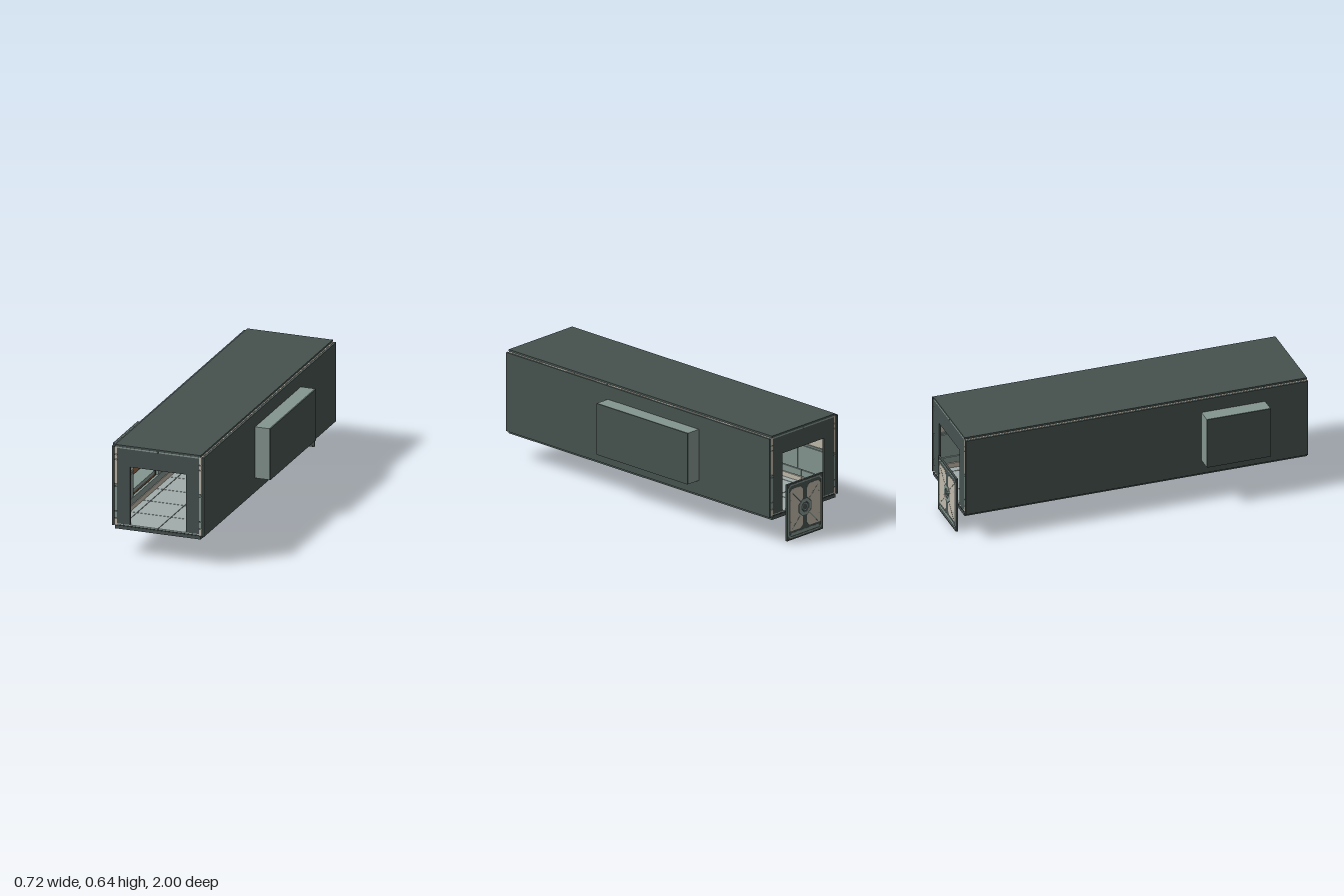
import * as THREE from 'three';

const mat = (color) => new THREE.MeshStandardMaterial({ color });
const DARK = mat(0x46524f), GREEN = mat(0x84958f), BEIGE = mat(0xc0b9ab);
const BROWN = mat(0x8f6548), TILE = mat(0xa2aeac), SEAL = mat(0x2c3433);
const BACK = -0.988, FRONT = 1;

// Box given by its minimum and maximum on each axis
function box(parent, name, material, [x0, x1], [y0, y1], [z0, z1]) {
  const mesh = new THREE.Mesh(new THREE.BoxGeometry(Math.abs(x1 - x0), y1 - y0, z1 - z0), material);
  mesh.position.set((x0 + x1) / 2, (y0 + y1) / 2, (z0 + z1) / 2);
  mesh.name = name;
  parent.add(mesh);
  return mesh;
}

function plate(parent, name, material, outline, z0, depth, hole) {
  const toPoints = (list) => list.map(([x, y]) => new THREE.Vector2(x, y));
  const shape = new THREE.Shape(toPoints(outline));
  if (hole) shape.holes.push(new THREE.Path(toPoints(hole)));
  const mesh = new THREE.Mesh(new THREE.ExtrudeGeometry(shape, { depth, bevelEnabled: false }), material);
  mesh.position.z = z0;
  mesh.name = name;
  parent.add(mesh);
  return mesh;
}

// Rectangle with cut corners
const chamfered = (x0, x1, y0, y1, c) => [
  [x0 + c, y0], [x1 - c, y0], [x1, y0 + c], [x1, y1 - c],
  [x1 - c, y1], [x0 + c, y1], [x0, y1 - c], [x0, y0 + c]];

// Splits [a, b] into evenly spaced pieces with gaps
function split(a, b, pitch, gap) {
  const n = Math.max(1, Math.round((b - a) / pitch)), step = (b - a) / n;
  return Array.from({ length: n }, (_, i) => [a + i * step + gap / 2, a + (i + 1) * step - gap / 2]);
}

// One side wall with an opening leading into a projecting alcove
function makeWall(side, z0, z1) {
  const wall = new THREE.Group();
  wall.name = side > 0 ? 'leftWall' : 'rightWall';
  const bx = (name, m, x, y, z) => box(wall, name, m, x.map((v) => v * side), y, z);
  const skin = [0.257, 0.27];
  bx('outerSkinBottom', DARK, skin, [0.168, 0.25], [BACK, FRONT]);
  bx('outerSkinTop', DARK, skin, [0.547, 0.625], [BACK, FRONT]);
  bx('outerSkinBack', DARK, skin, [0.25, 0.547], [BACK, z0]);
  bx('outerSkinFront', DARK, skin, [0.25, 0.547], [z1, FRONT]);

  // Rows of interior panels, interrupted at the opening
  const rows = [[0.17, 0.207, BEIGE, 0], [0.211, 0.248, GREEN, 0], [0.252, 0.392, GREEN, 1],
    [0.396, 0.406, GREEN, 1], [0.41, 0.547, BEIGE, 1], [0.551, 0.576, BEIGE, 0], [0.58, 0.624, BEIGE, 0]];
  for (const [y0, y1, material, open] of rows) {
    const spans = open ? [[BACK, z0], [z1, FRONT]] : [[BACK, FRONT]];
    for (const [a, b] of spans)
      for (const z of split(a, b, 0.25, 0.005)) bx('wallPanel', material, [0.24, 0.254], [y0, y1], z);
  }

  // Alcove shell, lining and seat
  bx('alcoveOuterPlate', DARK, [0.35, 0.36], [0.25, 0.547], [z0, z1]);
  bx('alcoveTop', GREEN, [0.254, 0.35], [0.537, 0.547], [z0, z1]);
  bx('alcoveBase', BROWN, [0.254, 0.35], [0.25, 0.262], [z0 + 0.004, z1 - 0.004]);
  for (const z of [[z0, z0 + 0.008], [z1 - 0.008, z1]])
    bx('alcoveEnd', GREEN, [0.254, 0.35], [0.25, 0.547], z);
  bx('alcoveLining', BROWN, [0.343, 0.35], [0.262, 0.537], [z0 + 0.008, z1 - 0.008]);
  bx('alcoveCushion', GREEN, [0.25, 0.335], [0.262, 0.285], [z0 + 0.02, z1 - 0.02]);
  return wall;
}

// End wall with a tall doorway
function makeEndFrame(name, z) {
  const group = new THREE.Group();
  group.name = name;
  plate(group, 'doorway', DARK,
    [[-0.24, 0.18], [-0.163, 0.18], [-0.163, 0.515], [0.163, 0.515], [0.163, 0.18], [0.24, 0.18],
      [0.24, 0.617], [-0.24, 0.617]], z, 0.012);
  return group;
}

// Detail of one door face, facing +z
function makeDoorFace() {
  const face = new THREE.Group();
  face.name = 'doorFace';
  plate(face, 'border', GREEN, chamfered(-0.135, 0.135, 0.009, 0.319, 0.02), 0, 0.0014,
    chamfered(-0.128, 0.128, 0.016, 0.312, 0.018));
  plate(face, 'lowerTrim', GREEN, [[-0.115, 0.022], [0.115, 0.022], [0.105, 0.038], [-0.105, 0.038]], 0, 0.001);
  const panel = [[0.035, 0.05], [0.12, 0.05], [0.12, 0.275], [0.102, 0.293], [0.035, 0.293], [0.017, 0.275],
    [0.017, 0.217], [0.05, 0.19], [0.05, 0.14], [0.017, 0.113], [0.017, 0.067]];
  for (const s of [1, -1]) {
    const outline = panel.map(([x, y]) => [x * s, y]);
    plate(face, 'doorPanel', BEIGE, outline, 0, 0.001);
    for (const v of [1, -1]) {
      const bar = new THREE.Group();
      bar.name = 'diagonalBar';
      bar.position.set(s * 0.068, 0.165 + v * 0.074, 0);
      bar.rotation.z = s * v * Math.PI / 4;
      box(bar, 'bar', GREEN, [-0.046, 0.046], [-0.0022, 0.0022], [0, 0.0016]);
      for (let i = -4; i <= 4; i++)
        box(bar, 'barTooth', SEAL, [i * 0.01 - 0.002, i * 0.01 + 0.002], [-0.003, 0.003], [0, 0.0013]);
      face.add(bar);
      const bolt = new THREE.Mesh(new THREE.CylinderGeometry(0.004, 0.004, 0.0016, 8), GREEN);
      bolt.rotation.x = Math.PI / 2;
      bolt.position.set(s * 0.111, 0.165 + v * 0.064, 0.0008);
      bolt.name = 'bolt';
      face.add(bolt);
    }
  }
  // Octagonal hub
  const octagon = (r) => Array.from({ length: 8 }, (_, i) => {
    const a = (i + 0.5) * Math.PI / 4;
    return [r * Math.cos(a), 0.165 + r * Math.sin(a)];
  });
  plate(face, 'hubRing', GREEN, octagon(0.05), 0, 0.0016, octagon(0.031));
  plate(face, 'hubInnerRing', GREEN, octagon(0.022), 0, 0.0012, octagon(0.017));
  return face;
}

function makeDoor() {
  const door = new THREE.Group();
  door.name = 'loweredDoor';
  box(door, 'doorSlab', DARK, [-0.138, 0.138], [0.004, 0.323], [-0.0042, 0.0042]);
  plate(door, 'doorRim', DARK, [[-0.142, 0], [0.142, 0], [0.142, 0.327], [-0.142, 0.327]], -0.006, 0.012,
    [[-0.137, 0.006], [0.137, 0.006], [0.137, 0.321], [-0.137, 0.321]]);
  for (const turn of [0, Math.PI]) {
    const side = new THREE.Group();
    side.name = 'doorSide';
    const face = makeDoorFace();
    face.position.z = 0.0042;
    side.add(face);
    side.rotation.y = turn;
    door.add(side);
  }
  door.position.z = -0.994;
  return door;
}

export function createModel() {
  const model = new THREE.Group();
  model.name = 'corridorModule';
  box(model, 'floorSlab', DARK, [-0.25, 0.25], [0.15, 0.168], [BACK, FRONT]);
  box(model, 'roofSlab', DARK, [-0.25, 0.25], [0.626, 0.637], [BACK, FRONT]);

  // Floor tiles and ceiling panels
  const columns = [[-0.24, -0.202], [-0.198, -0.002], [0.002, 0.198], [0.202, 0.24]];
  box(model, 'floorSeams', SEAL, [-0.239, 0.239], [0.168, 0.174], [BACK + 0.001, FRONT - 0.001]);
  for (const z of split(BACK, FRONT, 0.2, 0.004))
    for (const x of columns) box(model, 'floorTile', TILE, x, [0.168, 0.18], z);
  for (const z of split(BACK, FRONT, 0.25, 0.004))
    for (const x of [[-0.24, -0.002], [0.002, 0.24]]) box(model, 'ceilingPanel', GREEN, x, [0.617, 0.625], z);

  model.add(makeWall(1, -0.455, 0.232), makeWall(-1, 0.38, 0.75));
  model.add(makeEndFrame('frontFrame', FRONT - 0.014), makeEndFrame('backFrame', BACK + 0.002));
  model.add(makeDoor());
  return model;
}
